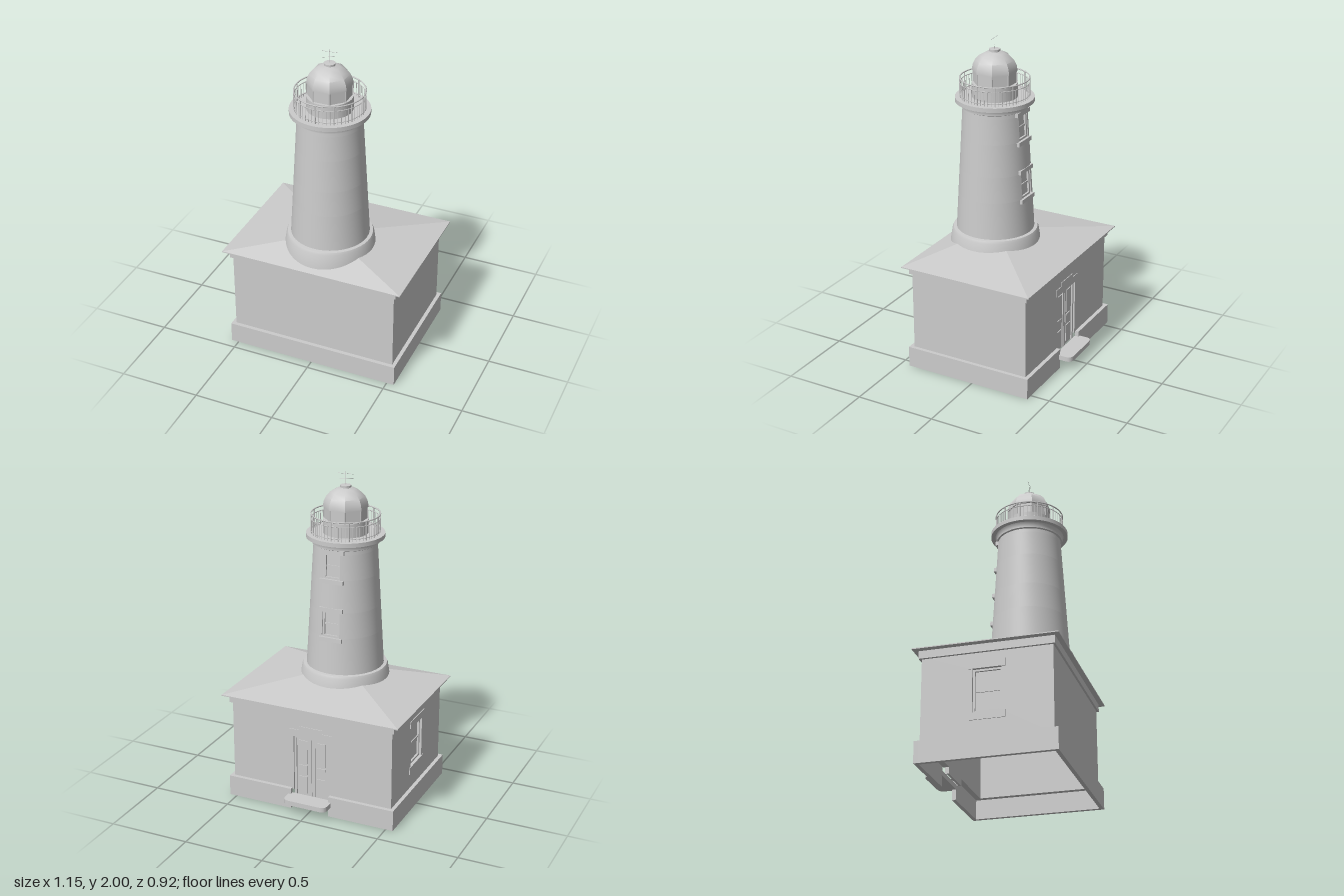
import * as THREE from 'three';
import { toCreasedNormals } from 'three/addons/utils/BufferGeometryUtils.js';

const TZ = 0.14; // tower axis
const STEP = Math.PI / 24; // angle of one shaft facet
const grey = new THREE.MeshStandardMaterial({ color: 0xcccccc });
const greyDouble = new THREE.MeshStandardMaterial({ color: 0xcccccc, side: THREE.DoubleSide });
const greyFlat = new THREE.MeshStandardMaterial({ color: 0xcccccc, flatShading: true });

function add(parent, name, geometry, material = grey) {
  const mesh = new THREE.Mesh(geometry, material);
  mesh.name = name;
  parent.add(mesh);
  return mesh;
}

// box given by its lower and upper corners
function box(parent, name, x0, x1, y0, y1, z0, z1) {
  const mesh = add(parent, name, new THREE.BoxGeometry(x1 - x0, y1 - y0, z1 - z0));
  mesh.position.set((x0 + x1) / 2, (y0 + y1) / 2, (z0 + z1) / 2);
  return mesh;
}

function lathe(parent, name, profile, segments = 48, start = 0, length = Math.PI * 2) {
  const points = profile.map(([r, y]) => new THREE.Vector2(r, y));
  const geometry = toCreasedNormals(new THREE.LatheGeometry(points, segments, start, length), 0.6);
  return add(parent, name, geometry, greyDouble);
}

function rod(parent, name, radius, from, to) {
  const a = new THREE.Vector3(...from), b = new THREE.Vector3(...to);
  const mesh = add(parent, name, new THREE.CylinderGeometry(radius, radius, a.distanceTo(b), 6));
  mesh.position.copy(a).lerp(b, 0.5);
  mesh.quaternion.setFromUnitVectors(new THREE.Vector3(0, 1, 0), b.sub(a).normalize());
}

const outline = points => points.map(p => new THREE.Vector2(...p));

// recessed sash window facing local +z, with lintel and sill
function sashWindow(name, hw, hh, trim, overhang, out) {
  const g = new THREE.Group();
  g.name = name;
  const f = 0.012, back = -0.035;
  box(g, 'pane', -hw, hw, -hh, hh, back, -0.026);
  for (const s of [-1, 1]) {
    const x = s * (hw - f / 2), y = s * (hh - f / 2);
    box(g, 'sideFrame', x - f / 2, x + f / 2, -hh, hh, back, -0.014);
    box(g, 'crossFrame', -hw, hw, y - f / 2, y + f / 2, back, -0.014);
  }
  box(g, 'meetingRail', -hw, hw, -0.006, 0.006, back, -0.02);
  box(g, 'lintel', -hw - overhang, hw + overhang, hh, hh + trim, back, out);
  box(g, 'sill', -hw - overhang, hw + overhang, -hh - trim, -hh, back, out);
  return g;
}

function buildHouse(root) {
  const house = new THREE.Group();
  house.name = 'house';
  root.add(house);
  const X = 0.523, Z0 = -0.352, Z1 = 0.415, T = 0.035, Y0 = 0.12, Y1 = 0.63;

  // thin plinth ring, open at the doorway
  const bx = 0.546, bz0 = -0.378, bz1 = 0.442, bt = 0.024, h = 0.13;
  box(house, 'plinthFront', -bx, bx, 0, h, bz1 - bt, bz1);
  for (const s of [-1, 1]) {
    const x = s * (bx - bt / 2);
    box(house, 'plinthSide', x - bt / 2, x + bt / 2, 0, h, bz0 + bt, bz1 - bt);
    const m = s * (bx + 0.125) / 2, half = (bx - 0.125) / 2;
    box(house, 'plinthBack', m - half, m + half, 0, h, bz0, bz0 + bt);
  }

  // walls
  box(house, 'frontWall', -X, X, Y0, Y1, Z1 - T, Z1);
  box(house, 'leftWall', X - T, X, Y0, Y1, Z0 + T, Z1 - T);
  const back = new THREE.Shape(outline([[-X, Y0], [-0.115, Y0], [-0.115, 0.48], [0.115, 0.48],
    [0.115, Y0], [X, Y0], [X, Y1], [-X, Y1]]));
  add(house, 'backWall', new THREE.ExtrudeGeometry(back, { depth: T, bevelEnabled: false })).position.z = Z0;

  // right wall with its window
  const side = new THREE.Shape(outline([[Z0 + T, Y0], [Z1 - T, Y0], [Z1 - T, Y1], [Z0 + T, Y1]]));
  const wz = 0.033;
  side.holes.push(new THREE.Path(outline([[wz - 0.085, 0.27], [wz - 0.085, 0.53],
    [wz + 0.085, 0.53], [wz + 0.085, 0.27]])));
  const right = add(house, 'rightWall', new THREE.ExtrudeGeometry(side, { depth: T, bevelEnabled: false }));
  right.rotation.y = -Math.PI / 2;
  right.position.x = -X + T;
  const win = sashWindow('houseWindow', 0.085, 0.13, 0.045, 0.022, 0.005);
  win.rotation.y = -Math.PI / 2;
  win.position.set(-X, 0.4, wz);
  house.add(win);

  // double door with panels, lintel and step
  const dz = Z0 + 0.02;
  box(house, 'door', -0.115, 0.115, 0.08, 0.48, dz, dz + 0.015);
  box(house, 'doorHead', -0.115, 0.115, 0.465, 0.48, dz - 0.01, dz);
  for (const s of [-1, 1]) {
    box(house, 'doorJamb', s * 0.108 - 0.007, s * 0.108 + 0.007, 0.08, 0.48, dz - 0.01, dz);
    box(house, 'doorStile', s * 0.011 - 0.008, s * 0.011 + 0.008, 0.08, 0.465, dz - 0.006, dz);
    for (const [y0, y1] of [[0.1, 0.21], [0.225, 0.285], [0.3, 0.45]])
      box(house, 'doorPanel', s * 0.059 - 0.028, s * 0.059 + 0.028, y0, y1, dz - 0.005, dz);
  }
  box(house, 'doorLintel', -0.14, 0.14, 0.48, 0.525, Z0 - 0.004, Z0 + T);
  box(house, 'doorLintelCrown', -0.075, 0.075, 0.525, 0.55, Z0 - 0.004, Z0 + 0.01);

  const step = new THREE.Shape();
  step.moveTo(-0.142, 0.352);
  step.lineTo(0.142, 0.352);
  step.lineTo(0.142, 0.422);
  step.quadraticCurveTo(0.142, 0.461, 0.1, 0.461);
  step.lineTo(-0.1, 0.461);
  step.quadraticCurveTo(-0.142, 0.461, -0.142, 0.422);
  const slab = add(house, 'doorStep', new THREE.ExtrudeGeometry(step, { depth: 0.03, bevelEnabled: false }));
  slab.rotation.x = -Math.PI / 2;
  slab.position.y = 0.065;

  // cornice and hipped roof rising to the tower axis
  const ex = 0.575, ez0 = -0.398, ez1 = 0.458;
  box(house, 'cornice', -0.538, 0.538, 0.625, 0.672, -0.367, 0.428);
  box(house, 'eave', -ex, ex, 0.672, 0.678, ez0, ez1);
  const corners = [[-ex, ez1], [ex, ez1], [ex, ez0], [-ex, ez0]];
  const pos = [];
  corners.forEach(([x, z], i) => {
    const [x2, z2] = corners[(i + 1) % 4];
    pos.push(x, 0.678, z, x2, 0.678, z2, 0, 0.775, TZ);
  });
  const roof = new THREE.BufferGeometry();
  roof.setAttribute('position', new THREE.Float32BufferAttribute(pos, 3));
  roof.computeVertexNormals();
  add(house, 'roof', roof, greyFlat);
}

function buildTower(root) {
  const tower = new THREE.Group();
  tower.name = 'tower';
  tower.position.z = TZ;
  root.add(tower);
  const R = y => 0.237 - 0.0584 * (y - 0.8);
  const band = (y0, y1, ...arc) => lathe(tower, 'shaft', [[R(y0), y0], [R(y1), y1]], ...arc);

  lathe(tower, 'skirt', [[0.28, 0.675], [0.277, 0.7], [0.264, 0.785], [0.257, 0.8], [0.232, 0.803]]);

  // tapered shaft, left open where the two back windows sit
  let y = 0.79;
  for (const [y0, y1] of [[1.03, 1.19], [1.39, 1.545]]) {
    const mid = (y0 + y1) / 2;
    band(y, y0);
    band(y0, y1, 44, Math.PI + STEP * 2, STEP * 44);
    y = y1;
    const win = sashWindow('towerWindow', 0.055, (y1 - y0) / 2, 0.025, 0.02, 0.003);
    win.rotation.set(-0.058, Math.PI, 0, 'YXZ');
    win.position.set(0, mid, -R(mid));
    tower.add(win);
  }
  band(y, 1.58);

  lathe(tower, 'gallery', [[0.188, 1.565], [0.201, 1.572], [0.201, 1.59], [0.21, 1.604], [0.236, 1.604],
    [0.236, 1.63], [0, 1.63]]);

  // railing
  for (const [ry, r] of [[1.745, 0.004], [1.718, 0.0025], [1.645, 0.0025]]) {
    const ring = add(tower, 'rail', new THREE.TorusGeometry(0.206, r, 6, 48));
    ring.rotation.x = Math.PI / 2;
    ring.position.y = ry;
  }
  for (let i = 0; i < 60; i++) {
    const a = i / 60 * Math.PI * 2, x = Math.sin(a) * 0.206, z = Math.cos(a) * 0.206;
    const post = i % 5 === 0;
    rod(tower, post ? 'railPost' : 'baluster', post ? 0.004 : 0.0018, [x, 1.63, z], [x, post ? 1.745 : 1.718, z]);
  }

  // lantern: round drum, eight-sided room and dome
  lathe(tower, 'lanternDrum', [[0.136, 1.63], [0.136, 1.715], [0.1, 1.715]]);
  const k = 1 / Math.cos(Math.PI / 8);
  const dome = [[0.118, 1.71], [0.118, 1.785], [0.124, 1.785], [0.124, 1.795], [0.12, 1.82], [0.107, 1.85],
    [0.084, 1.877], [0.055, 1.894], [0.02, 1.902]].map(([r, h]) => [r * k, h]);
  lathe(tower, 'lanternDome', dome, 8, Math.PI / 8);
  for (let i = 0; i < 8; i++) {
    const a = (i + 0.5) * Math.PI / 4, x = Math.sin(a) * 0.127, z = Math.cos(a) * 0.127;
    rod(tower, 'lanternMullion', 0.005, [x, 1.71, z], [x, 1.79, z]);
  }

  // vent cap and weather vane
  lathe(tower, 'ventCap', [[0.026, 1.89], [0.026, 1.904], [0.033, 1.905], [0.033, 1.917], [0, 1.919]]);
  rod(tower, 'mast', 0.0012, [0, 1.91, 0], [0, 2, 0]);
  rod(tower, 'vaneBar', 0.001, [-0.048, 1.985, 0.005], [0.048, 1.985, -0.005]);
  rod(tower, 'compassBar', 0.001, [-0.038, 1.953, 0.022], [0.038, 1.953, -0.022]);
}

export function createModel() {
  const root = new THREE.Group();
  root.name = 'lighthouse';
  buildHouse(root);
  buildTower(root);
  return root;
}
